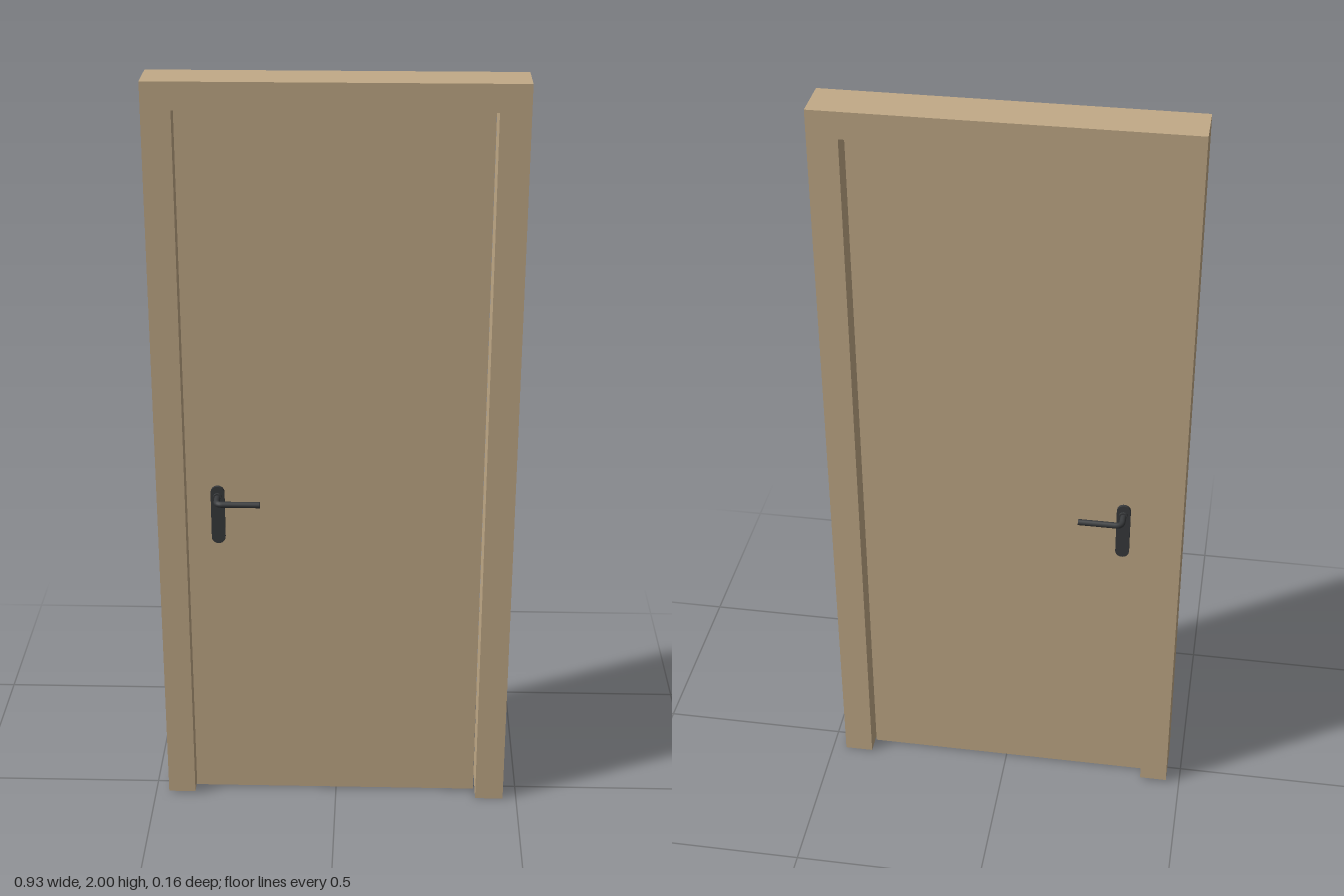
import * as THREE from 'three';

const wood = new THREE.MeshStandardMaterial({ color: 0xc2aa87 });
wood.name = 'wood';
const darkMetal = new THREE.MeshStandardMaterial({ color: 0x383a3c });
darkMetal.name = 'dark metal';

function add(parent, name, geometry, material) {
  const mesh = new THREE.Mesh(geometry, material);
  mesh.name = name;
  parent.add(mesh);
  return mesh;
}

// Stadium-shaped plate with its back on z = 0
function plateGeometry(radius, bottom, top, depth) {
  const s = new THREE.Shape();
  s.absarc(0, top - radius, radius, 0, Math.PI);
  s.absarc(0, bottom + radius, radius, Math.PI, Math.PI * 2);
  s.closePath();
  return new THREE.ExtrudeGeometry(s, { depth, bevelEnabled: false, curveSegments: 12 });
}

// Plate and bent lever for the front side of the door
function createHandle(doorFace) {
  const handle = new THREE.Group();
  add(handle, 'handlePlate', plateGeometry(0.018, 0.768, 0.932, 0.008), darkMetal)
    .position.z = doorFace;

  const y = 0.902, z = 0.072, bend = 0.016, r = 0.008;
  const path = new THREE.CurvePath();
  const v = (x, pz) => new THREE.Vector3(x, y, pz);
  path.add(new THREE.LineCurve3(v(0, doorFace), v(0, z - bend)));
  path.add(new THREE.QuadraticBezierCurve3(v(0, z - bend), v(0, z), v(bend, z)));
  path.add(new THREE.LineCurve3(v(bend, z), v(0.113, z)));
  add(handle, 'lever', new THREE.TubeGeometry(path, 40, r, 12), darkMetal);

  // Flat end of the lever
  const cap = add(handle, 'leverEnd', new THREE.CircleGeometry(r, 12), darkMetal);
  cap.rotation.y = Math.PI / 2;
  cap.position.set(0.113, y, z);

  // Collar around the spindle
  const collar = add(handle, 'collar', new THREE.CylinderGeometry(0.012, 0.012, 0.014, 16), darkMetal);
  collar.rotation.x = Math.PI / 2;
  collar.position.set(0, y, doorFace + 0.007);
  return handle;
}

export function createModel() {
  const model = new THREE.Group();
  model.name = 'door';

  // Frame: two jambs and a lintel in one piece
  const outline = new THREE.Shape([
    [-0.463, 0.008], [-0.39, 0.008], [-0.39, 1.931], [0.387, 1.931],
    [0.387, 0], [0.463, 0], [0.463, 2], [-0.463, 2],
  ].map(([x, y]) => new THREE.Vector2(x, y)));
  const depth = 0.12;
  add(model, 'doorFrame', new THREE.ExtrudeGeometry(outline, { depth, bevelEnabled: false }), wood)
    .position.z = -depth / 2;

  // Door leaf, recessed on both sides, with a small gap at the top
  const leafDepth = 0.04;
  add(model, 'doorLeaf', new THREE.BoxGeometry(0.771, 1.917, leafDepth), wood)
    .position.set(-0.0035, 0.004 + 1.917 / 2, 0);

  // Matching handles on both faces
  for (const side of ['front', 'back']) {
    const handle = createHandle(leafDepth / 2);
    handle.name = side + 'Handle';
    handle.position.x = -0.308;
    if (side === 'back') {
      // Mirror through the door plane
      handle.scale.z = -1;
    }
    model.add(handle);
  }
  return model;
}
